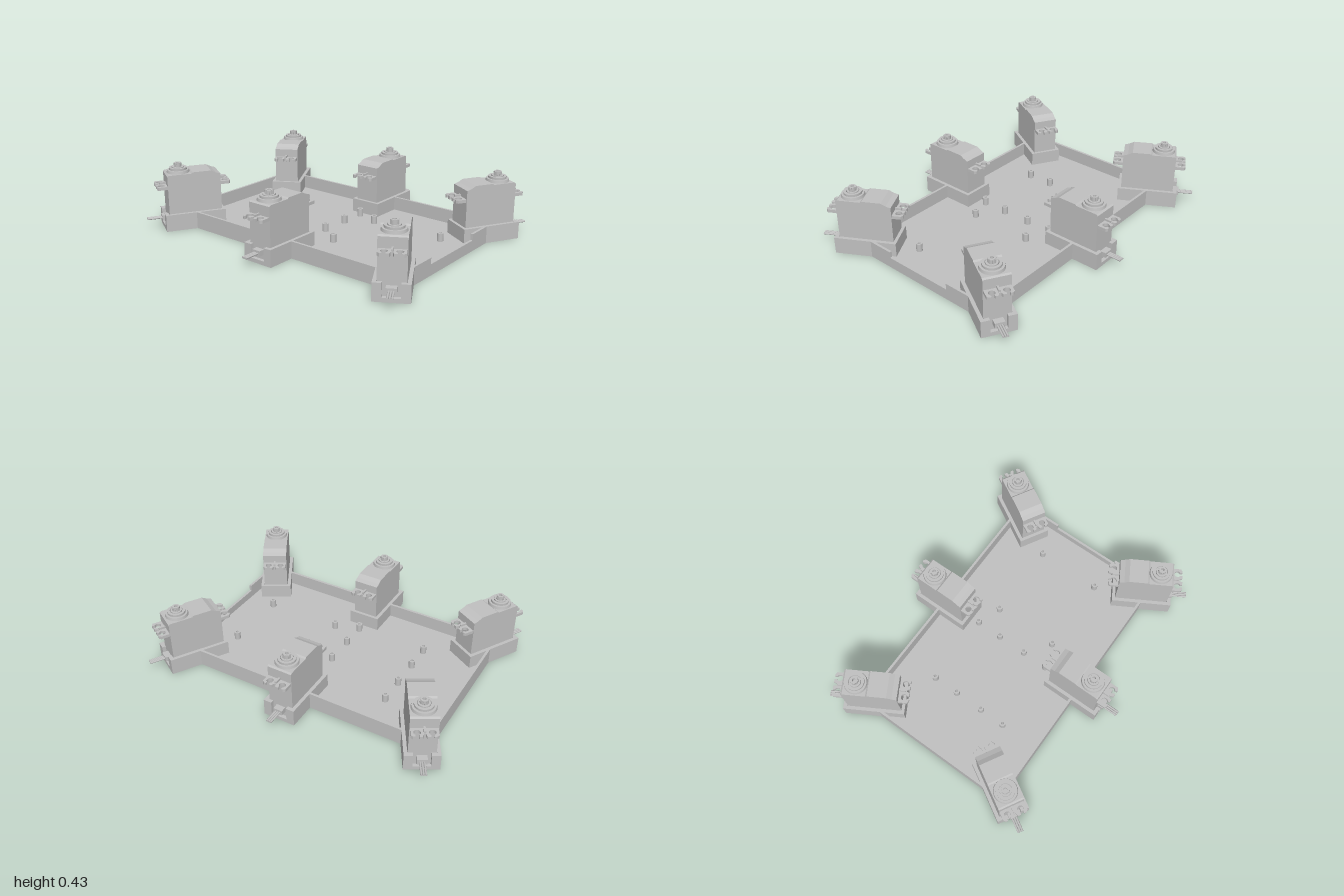
import * as THREE from 'three';

const grey = new THREE.MeshStandardMaterial({ color: 0xc0c0c0 });
grey.name = 'plain grey';

function add(parent, name, geometry, x = 0, y = 0, z = 0) {
  const mesh = new THREE.Mesh(geometry, grey);
  mesh.name = name;
  mesh.position.set(x, y, z);
  parent.add(mesh);
  return mesh;
}

// Box given by its min and max on each axis
function box(parent, name, x0, x1, y0, y1, z0, z1) {
  return add(parent, name, new THREE.BoxGeometry(x1 - x0, y1 - y0, z1 - z0),
    (x0 + x1) / 2, (y0 + y1) / 2, (z0 + z1) / 2);
}

function polygon(points) {
  return new THREE.Shape(points.map(([x, y]) => new THREE.Vector2(x, y)));
}

function extrude(shape, depth) {
  return new THREE.ExtrudeGeometry(shape, { depth, bevelEnabled: false, curveSegments: 16 });
}

// Horizontal plate: shape y becomes -z
function plate(parent, name, shape, y, height) {
  return add(parent, name, extrude(shape, height).rotateX(-Math.PI / 2), 0, y, 0);
}

function roundHole(shape, x, z, r) {
  shape.holes.push(new THREE.Path().absarc(x, -z, r, 0, Math.PI * 2, true));
}

function rectangle(x0, x1, z0, z1) {
  return polygon([[x0, -z1], [x1, -z1], [x1, -z0], [x0, -z0]]);
}

function tube(inner, outer, height) {
  const p = [[inner, 0], [outer, 0], [outer, 0], [outer, height], [outer, height],
    [inner, height], [inner, height], [inner, 0]];
  return new THREE.LatheGeometry(p.map(([x, y]) => new THREE.Vector2(x, y)), 20);
}

// Open-topped holder; local +z points outward and the servo shaft is the origin
function makePocket() {
  const g = new THREE.Group();
  g.name = 'servoPocket';
  const floor = rectangle(-0.105, 0.105, -0.28, 0.113);
  roundHole(floor, 0, 0.055, 0.034);
  plate(g, 'pocketFloor', floor, 0, 0.02);
  for (const s of [-1, 1]) box(g, 'pocketSide', s * 0.094 - 0.011, s * 0.094 + 0.011, 0, 0.11, -0.28, 0.113);
  box(g, 'pocketInnerEnd', -0.105, 0.105, 0, 0.11, -0.28, -0.26);
  const end = polygon([[-0.105, 0], [0.105, 0], [0.105, 0.11], [0.052, 0.11], [0.052, 0.025],
    [-0.052, 0.025], [-0.052, 0.11], [-0.105, 0.11]]);
  add(g, 'pocketOuterEnd', extrude(end, 0.024), 0, 0, 0.089);
  return g;
}

// Mounting tab with two screw slots, pointing along local +z
function makeTab() {
  const s = new THREE.Shape();
  s.moveTo(-0.078, 0);
  s.lineTo(0.078, 0);
  s.lineTo(0.078, 0.06);
  s.lineTo(0.065, 0.07);
  s.lineTo(0.052, 0.07);
  s.lineTo(0.052, 0.055);
  s.absarc(0.042, 0.038, 0.02, Math.PI / 3, Math.PI * 2 / 3, true);
  s.lineTo(0.032, 0.07);
  s.lineTo(0.012, 0.07);
  s.lineTo(0.006, 0.05);
  s.lineTo(-0.006, 0.05);
  s.lineTo(-0.012, 0.07);
  s.lineTo(-0.032, 0.07);
  s.lineTo(-0.032, 0.055);
  s.absarc(-0.042, 0.038, 0.02, Math.PI / 3, Math.PI * 2 / 3, true);
  s.lineTo(-0.052, 0.07);
  s.lineTo(-0.065, 0.07);
  s.lineTo(-0.078, 0.06);
  const g = new THREE.Group();
  g.name = 'mountingTab';
  // shape y points to -z after laying flat, so turn it round
  plate(g, 'tabPlate', s, 0.275, 0.02).rotation.y = Math.PI;
  // stiffening rib
  box(g, 'tabRib', -0.006, 0.006, 0.295, 0.308, 0, 0.045);
  return g;
}

function makeServo() {
  const g = new THREE.Group();
  g.name = 'servo';

  // Case with a sloping inner top, extruded across the width
  const side = polygon([[-0.26, 0.02], [0.085, 0.02], [0.085, 0.36], [0.075, 0.368],
    [-0.07, 0.368], [-0.08, 0.376], [-0.2, 0.376], [-0.23, 0.36], [-0.26, 0.35]]);
  const body = extrude(side, 0.162).translate(0, 0, -0.081).rotateY(-Math.PI / 2);
  add(g, 'servoCase', body);

  const outer = makeTab();
  outer.position.z = 0.082;
  const inner = makeTab();
  inner.position.z = -0.257;
  inner.rotation.y = Math.PI;
  g.add(outer, inner);

  // Output shaft
  add(g, 'shaftBase', new THREE.CylinderGeometry(0.07, 0.074, 0.02, 32), 0, 0.376, 0);
  add(g, 'shaftCollar', tube(0.04, 0.057, 0.014), 0, 0.386, 0);
  add(g, 'shaftBearing', new THREE.CylinderGeometry(0.036, 0.036, 0.018, 24), 0, 0.394, 0);
  add(g, 'shaftCap', tube(0.011, 0.023, 0.03), 0, 0.4, 0);
  for (let i = 0; i < 12; i++) {
    const a = i / 12 * Math.PI * 2;
    add(g, 'shaftTooth', new THREE.BoxGeometry(0.006, 0.028, 0.006),
      Math.sin(a) * 0.022, 0.414, Math.cos(a) * 0.022).rotation.y = a;
  }

  // Cable plug and three leads
  box(g, 'cablePlug', -0.03, 0.03, 0.055, 0.088, 0.08, 0.125);
  for (const x of [-0.013, 0, 0.013]) {
    const lead = new THREE.CylinderGeometry(0.0062, 0.0062, 0.1, 10).rotateX(Math.PI / 2);
    add(g, 'cableLead', lead, x, 0.07, 0.17);
  }
  return g;
}

export function createModel() {
  const model = new THREE.Group();
  model.name = 'walkerChassis';

  // Floor with screw holes, and the standoffs above them
  const spots = [];
  for (const x of [-0.48, 0]) for (const z of [-0.275, -0.1, 0.095, 0.268]) spots.push([x, z]);
  for (const x of [0.158, 0.668]) for (const z of [-0.217, 0.213]) spots.push([x, z]);
  const floor = rectangle(-0.885, 0.885, -0.542, 0.542);
  for (const [x, z] of spots) {
    roundHole(floor, x, z, 0.009);
    add(model, 'standoff', tube(0.009, 0.02, 0.055), x, 0.018, z);
  }
  plate(model, 'floor', floor, 0, 0.02);

  // Front and back walls, broken by the middle pockets
  for (const z of [-0.534, 0.534]) {
    for (const s of [-1, 1]) {
      const a = s * 0.1, b = s * 0.725;
      box(model, 'longWall', Math.min(a, b), Math.max(a, b), 0, 0.11, z - 0.008, z + 0.008);
    }
  }

  // End walls; the one on the left has a lowered middle
  box(model, 'rightWall', -0.885, -0.869, 0, 0.11, -0.41, 0.41);
  const low = polygon([[-0.41, 0], [0.41, 0], [0.41, 0.11], [0.235, 0.11], [0.235, 0.07],
    [-0.235, 0.07], [-0.235, 0.11], [-0.41, 0.11]]);
  add(model, 'leftWall', extrude(low, 0.016).rotateY(Math.PI / 2), 0.869, 0, 0);

  // Six legs' servos: x, z and outward angle in degrees
  const stations = [[0, 0.61, 0], [0, -0.61, 180]];
  for (const s of [-1, 1]) stations.push([s * 0.855, 0.565, s * 30], [s * 0.855, -0.565, s * 150]);
  for (const [x, z, angle] of stations) {
    const station = new THREE.Group();
    station.name = 'legStation';
    station.add(makePocket(), makeServo());
    station.position.set(x, 0, z);
    station.rotation.y = THREE.MathUtils.degToRad(angle);
    model.add(station);
  }
  return model;
}
